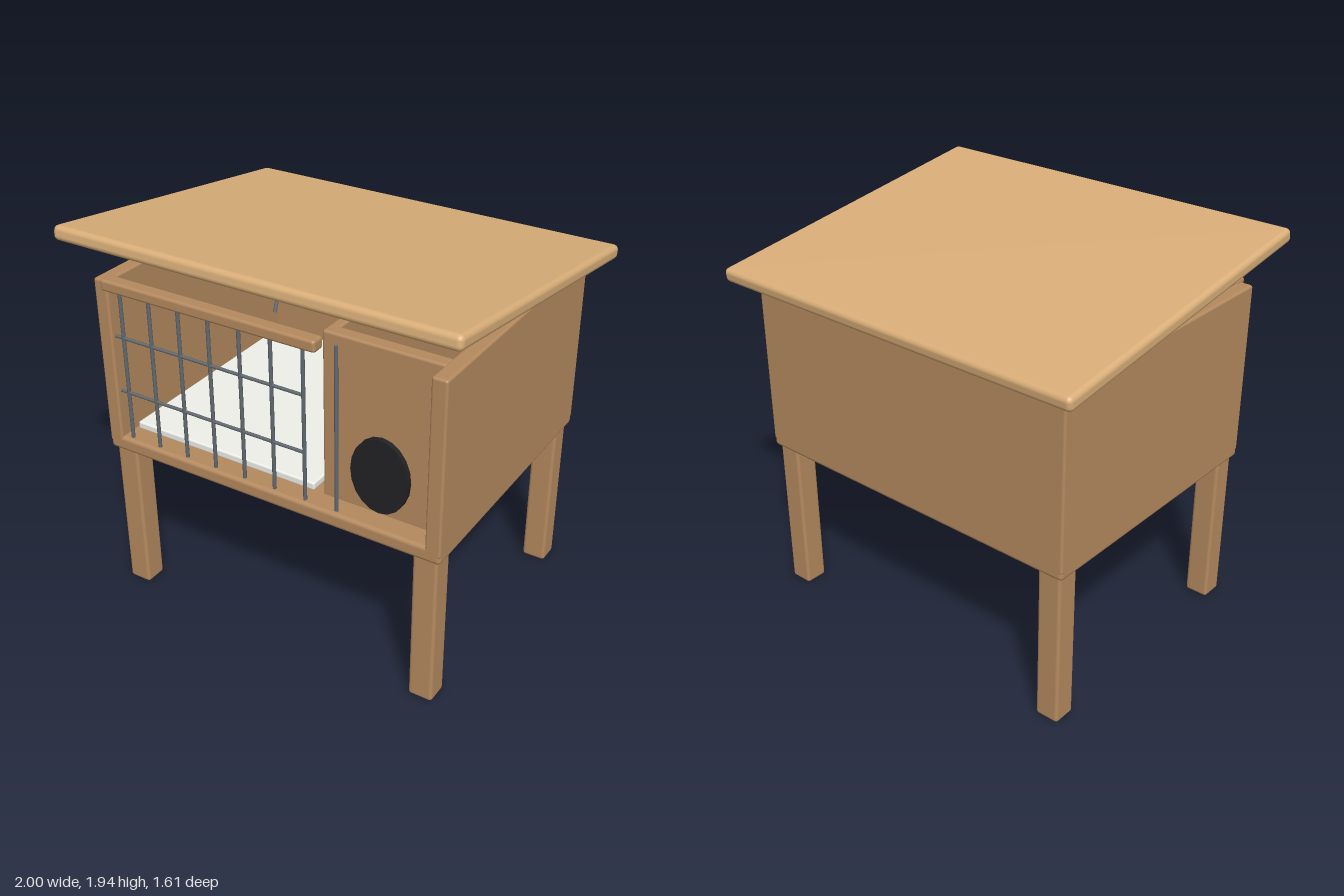
import * as THREE from 'three';
import { RoundedBoxGeometry } from 'three/addons/geometries/RoundedBoxGeometry.js';

const mat = (color) => new THREE.MeshStandardMaterial({ color });

export function createModel() {
  const hutch = new THREE.Group();
  hutch.name = 'hutch';
  const wood = mat(0xb58a5f);
  const roofWood = mat(0xd9ae78);
  const wire = mat(0x626a70);
  const black = mat(0x222224);
  const straw = mat(0xf0f0ea);
  const glass = mat(0xb5d5e0);

  const add = (name, geometry, material, x, y, z) => {
    const mesh = new THREE.Mesh(geometry, material);
    mesh.name = name;
    mesh.position.set(x, y, z);
    hutch.add(mesh);
    return mesh;
  };

  // Softly rounded board given by its lower and upper bounds
  const board = (name, [x0, x1], [y0, y1], [z0, z1], material = wood, r = 0.012) =>
    add(name, new RoundedBoxGeometry(x1 - x0, y1 - y0, z1 - z0, 2, r), material,
      (x0 + x1) / 2, (y0 + y1) / 2, (z0 + z1) / 2);

  // Thin round rod between two points
  const rod = (name, a, b, radius, material) => {
    const from = new THREE.Vector3(...a);
    const to = new THREE.Vector3(...b);
    const dir = to.clone().sub(from);
    const mid = from.clone().add(to).multiplyScalar(0.5);
    const mesh = add(name, new THREE.CylinderGeometry(radius, radius, dir.length(), 8), material, mid.x, mid.y, mid.z);
    mesh.quaternion.setFromUnitVectors(new THREE.Vector3(0, 1, 0), dir.normalize());
  };

  // Legs
  for (const x of [-0.815, 0.815])
    for (const z of [-0.613, 0.613])
      board('leg', [x - 0.06, x + 0.06], [0, 0.8], [z - 0.058, z + 0.058], wood, 0.016);

  // Floor and walls of the open-topped box
  board('floor', [-0.895, 0.895], [0.785, 0.86], [-0.69, 0.69], wood, 0.02);
  board('rightWall', [-0.895, -0.82], [0.82, 1.675], [-0.69, 0.69]);
  board('leftWall', [0.82, 0.895], [0.82, 1.675], [-0.69, 0.69]);
  board('backWall', [-0.89, 0.89], [0.82, 1.675], [-0.69, -0.62]);

  // Nest compartment with its round doorway
  board('nestFront', [0.25, 0.83], [0.84, 1.675], [0.51, 0.58]);
  board('nestDivider', [0.25, 0.3], [0.84, 1.675], [-0.64, 0.54]);
  const doorway = add('doorway', new THREE.CylinderGeometry(1, 1, 0.05, 20), black, 0.547, 1.065, 0.58);
  doorway.rotation.x = Math.PI / 2;
  doorway.scale.set(0.143, 1, 0.185);

  // Bedding
  board('bedding', [-0.81, 0.2], [0.855, 0.895], [-0.61, 0.58], straw, 0.01);

  // Wire front
  for (let i = 0; i < 8; i++) {
    const x = -0.775 + i * 0.1635;
    rod('verticalWire', [x, 0.85, 0.66], [x, 1.67, 0.66], 0.009, wire);
  }
  for (const y of [1.105, 1.39])
    rod('horizontalWire', [-0.83, y, 0.66], [0.205, y, 0.66], 0.008, wire);

  // Rail above the wire, with a small lip under it
  board('topRail', [-0.835, 0.3], [1.635, 1.692], [0.645, 0.716], wood, 0.014);
  board('topRailLip', [-0.82, 0.285], [1.622, 1.65], [0.64, 0.69], wood, 0.01);

  // Water bottle on the back wall
  add('waterBottle', new THREE.CylinderGeometry(0.042, 0.042, 0.28, 20), glass, -0.73, 1.33, -0.55);
  rod('bottleSpout', [-0.735, 1.2, -0.53], [-0.735, 1.06, -0.47], 0.01, wire);

  // Sloping roof, higher at the front
  const roof = add('roof', new RoundedBoxGeometry(2, 0.07, 1.62, 3, 0.025), roofWood, 0, 1.797, 0);
  roof.rotation.x = -0.138;

  return hutch;
}
